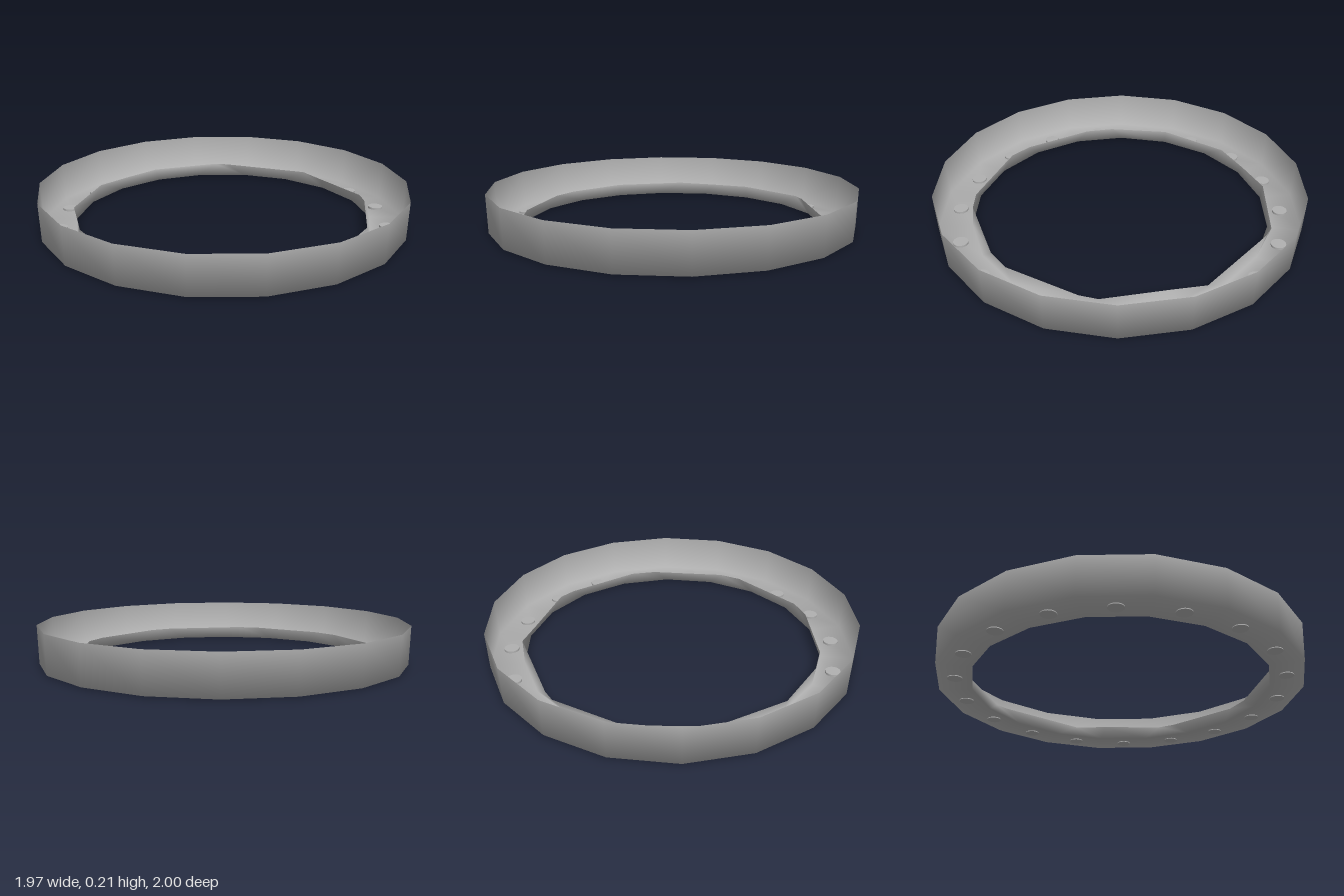
import * as THREE from 'three';

const SIDES = 18;
const FLOOR_Y = 0.005;

// Top edge of the hand-cut inner lip, one [x, z] point per side
const LIP = [
  [0.76, 0.15], [0.65, 0.48], [0.58, 0.55], [0.22, 0.77], [0.08, 0.79], [-0.34, 0.73],
  [-0.45, 0.67], [-0.74, 0.33], [-0.78, 0.2], [-0.78, -0.2], [-0.73, -0.35], [-0.53, -0.63],
  [-0.17, -0.81], [0.05, -0.8], [0.27, -0.78], [0.61, -0.57], [0.65, -0.5], [0.82, -0.02],
];

// Regular ring of points, with a corner on the z axis
function ring(radius, y) {
  return LIP.map((_, i) => {
    const a = THREE.MathUtils.degToRad(10 + i * 360 / SIDES);
    return [radius * Math.cos(a), y, radius * Math.sin(a)];
  });
}

// Smooth skin joining successive closed rings
function loft(rings) {
  const index = [];
  for (let r = 0; r < rings.length - 1; r++) {
    for (let i = 0; i < SIDES; i++) {
      const j = (i + 1) % SIDES;
      const a = r * SIDES + i, b = r * SIDES + j;
      index.push(a, b, a + SIDES, b, b + SIDES, a + SIDES);
    }
  }
  const geometry = new THREE.BufferGeometry();
  geometry.setAttribute('position', new THREE.Float32BufferAttribute(rings.flat(2), 3));
  geometry.setIndex(index);
  geometry.computeVertexNormals();
  return geometry;
}

export function createModel() {
  const model = new THREE.Group();
  model.name = 'channelRing';
  const grey = new THREE.MeshStandardMaterial({ color: 0xb0b0b0, side: THREE.DoubleSide });
  grey.name = 'grey';

  // Open channel: tall outer wall, flat floor, low irregular inner lip
  const channel = new THREE.Mesh(loft([
    ring(1, 0.212),
    ring(0.992, FLOOR_Y),
    ring(0.81, FLOOR_Y),
    LIP.map(([x, z]) => [x, 0.07, z]),
  ]), grey);
  channel.name = 'channel';
  model.add(channel);

  // Rivets through the floor, one at the middle of each side
  const rivets = new THREE.Group();
  rivets.name = 'rivets';
  const rivetShape = new THREE.CylinderGeometry(0.04, 0.04, 0.016, 20);
  for (let i = 0; i < SIDES; i++) {
    const a = i * 2 * Math.PI / SIDES;
    const rivet = new THREE.Mesh(rivetShape, grey);
    rivet.name = 'rivet';
    rivet.position.set(0.886 * Math.cos(a), 0.008, 0.886 * Math.sin(a));
    rivets.add(rivet);
  }
  model.add(rivets);
  return model;
}
